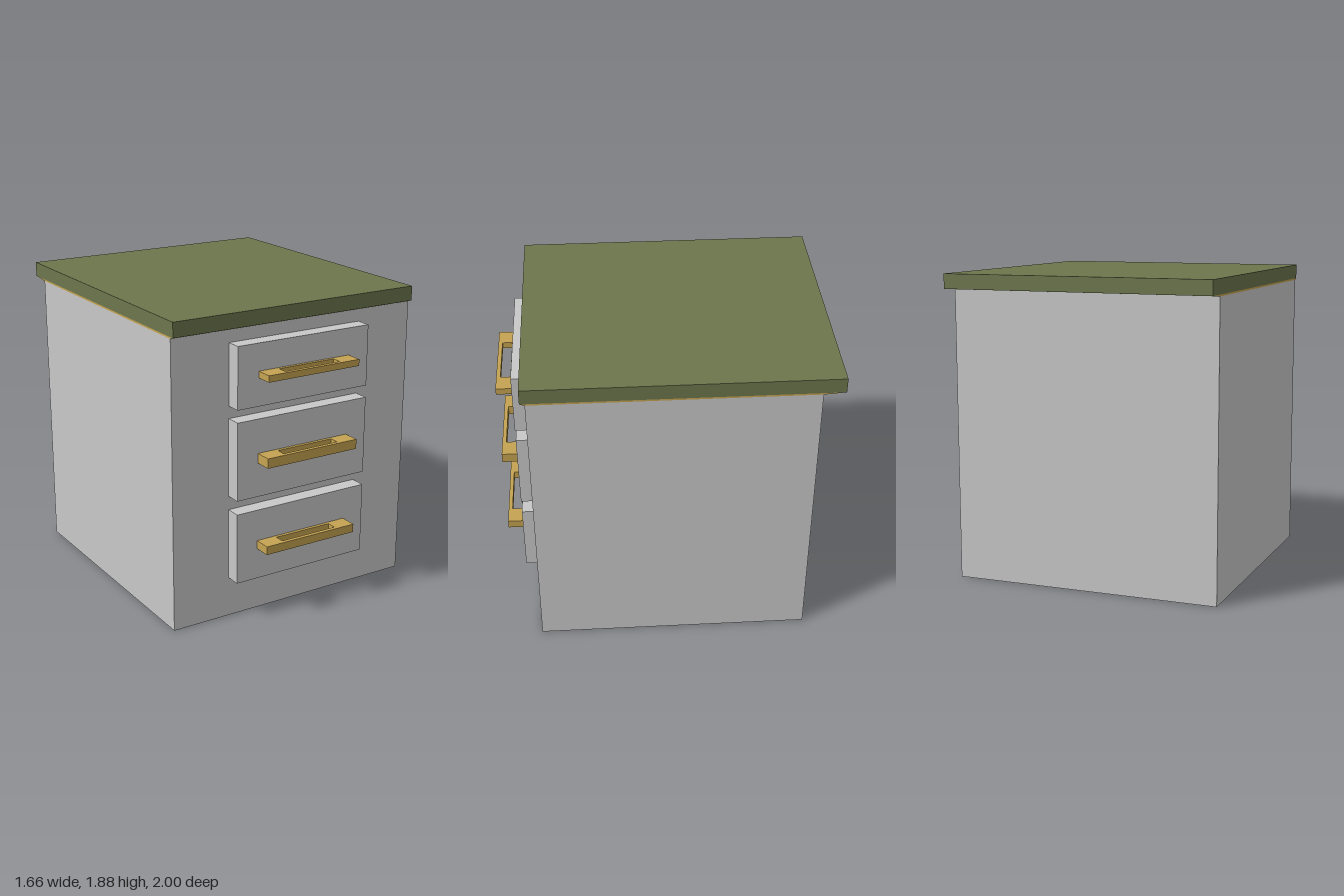
import * as THREE from 'three';
import { mergeGeometries } from 'three/addons/utils/BufferGeometryUtils.js';

// The unit is a hollow shell, open underneath, so every surface is two-sided.
const paint = (name, color) => {
  const m = new THREE.MeshStandardMaterial({ color, side: THREE.DoubleSide });
  m.name = name;
  return m;
};

// Flat quads joining two matching paths of [x, y, z] points
function strip(a, b, closed = true) {
  const pos = [];
  const count = closed ? a.length : a.length - 1;
  for (let i = 0; i < count; i++) {
    const j = (i + 1) % a.length;
    pos.push(...a[i], ...a[j], ...b[j], ...a[i], ...b[j], ...b[i]);
  }
  const g = new THREE.BufferGeometry();
  g.setAttribute('position', new THREE.Float32BufferAttribute(pos, 3));
  g.computeVertexNormals();
  return g;
}

// Rectangle outline at height y, running round from front left
const level = (x, y, front, back) =>
  [[-x, y, front], [x, y, front], [x, y, back], [-x, y, back]];

// Rectangle outline facing forward at depth z
const upright = (x, y0, y1, z) => [[-x, y0, z], [x, y0, z], [x, y1, z], [-x, y1, z]];

// Flat rectangular sheet with rectangular holes, each given as [halfWidth, low, high]
function sheet(outer, holes = []) {
  const corners = ([x, lo, hi]) =>
    [[-x, lo], [x, lo], [x, hi], [-x, hi]].map((p) => new THREE.Vector2(...p));
  const shape = new THREE.Shape(corners(outer));
  for (const h of holes) shape.holes.push(new THREE.Path(corners(h).reverse()));
  const g = new THREE.ShapeGeometry(shape).toNonIndexed();
  g.deleteAttribute('uv');
  return g;
}

export function createModel() {
  const model = new THREE.Group();
  model.name = 'drawerCabinet';
  const grey = paint('cabinetGrey', 0xc8c8c8);
  const green = paint('topGreen', 0x6c764c);
  const gold = paint('handleGold', 0xc5a351);

  const add = (name, material, parts) => {
    const mesh = new THREE.Mesh(mergeGeometries(parts), material);
    mesh.name = name;
    model.add(mesh);
  };

  const W = 0.83, FRONT = 0.8, BACK = -0.87, BODY = 1.78;
  const SLAB_LOW = 1.79, SLAB_TOP = 1.88, SLAB_FRONT = 0.83, SLAB_BACK = -1;
  const DRAWER_X = 0.455, DRAWER_Z = 0.895;
  const HANDLE_X = 0.315, HANDLE_Z = 1;
  const GRIP_X = 0.19, GRIP_BACK = 0.915, GRIP_FRONT = 0.975;

  // Vertical extents of each drawer and its handle
  const drawers = [
    { name: 'bottom', y: [0.25, 0.69], h: [0.443, 0.495] },
    { name: 'middle', y: [0.775, 1.255], h: [0.985, 1.045] },
    { name: 'top', y: [1.33, 1.705], h: [1.5, 1.54] },
  ];

  // Body: side and back walls, front wall cut out behind the drawers
  const wall = (y) => [[W, y, FRONT], [W, y, BACK], [-W, y, BACK], [-W, y, FRONT]];
  add('cabinetBody', grey, [
    strip(wall(0), wall(BODY), false),
    sheet([W, 0, BODY], drawers.map((d) => [DRAWER_X, ...d.y])).translate(0, 0, FRONT),
  ]);

  // Worktop: thin flared lip, edges and top
  add('worktopLip', gold, [
    strip(level(W, BODY, FRONT, BACK), level(W, SLAB_LOW, SLAB_FRONT, SLAB_BACK)),
  ]);
  add('worktop', green, [
    strip(level(W, SLAB_LOW, SLAB_FRONT, SLAB_BACK), level(W, SLAB_TOP, SLAB_FRONT, SLAB_BACK)),
    sheet([W, -SLAB_FRONT, -SLAB_BACK]).rotateX(-Math.PI / 2).translate(0, SLAB_TOP, 0),
  ]);

  for (const { name, y, h } of drawers) {
    // Drawer front, open into the body and into its handle
    add(name + 'Drawer', grey, [
      strip(upright(DRAWER_X, ...y, FRONT), upright(DRAWER_X, ...y, DRAWER_Z)),
      sheet([DRAWER_X, ...y], [[HANDLE_X, ...h]]).translate(0, 0, DRAWER_Z),
    ]);

    // Handle: ends and front, pierced top and bottom, walls of the grip slot
    const rim = (v) => [[-HANDLE_X, v, DRAWER_Z], [-HANDLE_X, v, HANDLE_Z],
      [HANDLE_X, v, HANDLE_Z], [HANDLE_X, v, DRAWER_Z]];
    const slot = (v) => level(GRIP_X, v, GRIP_FRONT, GRIP_BACK).reverse();
    add(name + 'Handle', gold, [
      strip(rim(h[0]), rim(h[1]), false),
      sheet([HANDLE_X, DRAWER_Z, HANDLE_Z], [[GRIP_X, GRIP_BACK, GRIP_FRONT]])
        .rotateX(Math.PI / 2).translate(0, h[0], 0),
      sheet([HANDLE_X, -HANDLE_Z, -DRAWER_Z], [[GRIP_X, -GRIP_FRONT, -GRIP_BACK]])
        .rotateX(-Math.PI / 2).translate(0, h[1], 0),
      strip(slot(h[0]), slot(h[1])),
    ]);
  }
  return model;
}
